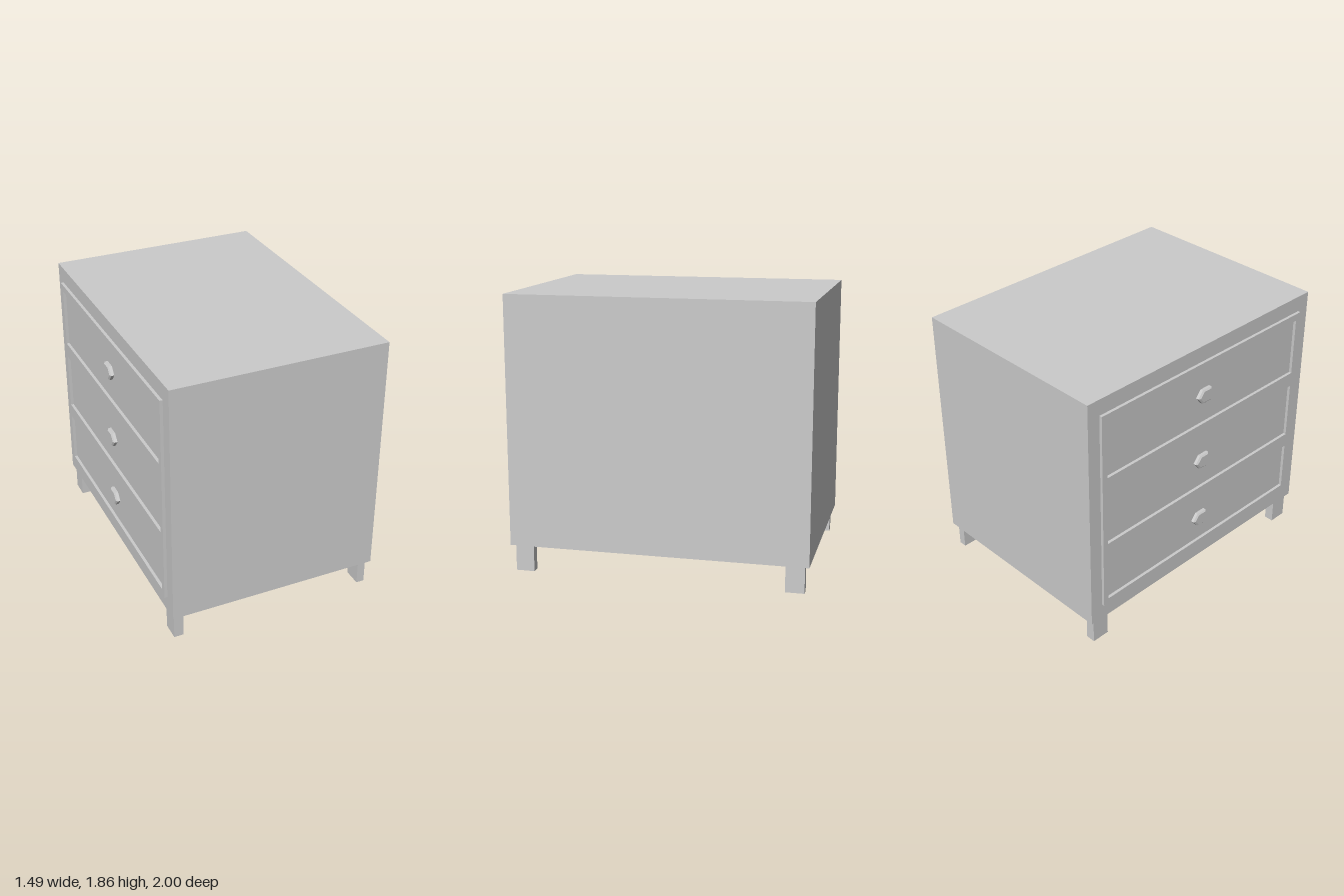
import * as THREE from 'three';

const material = new THREE.MeshStandardMaterial({ color: 0xcccccc, flatShading: true });

function box(name, [x0, x1], [y0, y1], [z0, z1]) {
  const mesh = new THREE.Mesh(new THREE.BoxGeometry(x1 - x0, y1 - y0, z1 - z0), material);
  mesh.position.set((x0 + x1) / 2, (y0 + y1) / 2, (z0 + z1) / 2);
  mesh.name = name;
  return mesh;
}

// Traces a rectangle as a shape or a hole
function rectangle(path, halfWidth, bottom, top) {
  path.moveTo(-halfWidth, bottom);
  path.lineTo(halfWidth, bottom);
  path.lineTo(halfWidth, top);
  path.lineTo(-halfWidth, top);
  path.closePath();
  return path;
}

export function createModel() {
  const model = new THREE.Group();
  model.name = 'drawerCabinet';

  const faceX = -0.717; // drawer side of the cabinet
  const frameDepth = 0.02;
  const drawers = [
    { bottom: 0.335, top: 0.685, knob: 0.515 },
    { bottom: 0.785, top: 1.185, knob: 0.99 },
    { bottom: 1.29, top: 1.695, knob: 1.495 },
  ];

  // Cabinet body
  model.add(box('cabinetBody', [faceX, 0.743], [0.18, 1.855], [-1, 1]));

  // Four legs
  for (const [z0, z1] of [[-0.97, -0.845], [0.845, 0.97]]) {
    model.add(box('drawerSideLeg', [-0.7, -0.635], [0, 0.18], [z0, z1]));
    model.add(box('plainSideLeg', [0.665, 0.72], [0, 0.18], [z0, z1]));
  }

  // Raised frame with one opening per drawer
  const outline = rectangle(new THREE.Shape(), 0.908, 0.293, 1.745);
  for (const d of drawers) outline.holes.push(rectangle(new THREE.Path(), 0.868, d.bottom, d.top));
  const frame = new THREE.Mesh(
    new THREE.ExtrudeGeometry(outline, { depth: frameDepth, bevelEnabled: false }), material);
  frame.rotation.y = -Math.PI / 2;
  frame.position.x = faceX;
  frame.name = 'drawerFrame';
  model.add(frame);

  // Flattened six-sided knobs with a bevelled front rim
  const profile = [[0, 0], [0.078, 0], [0.078, 0.02], [0.062, 0.028], [0, 0.028]]
    .map(([r, h]) => new THREE.Vector2(r, h));
  const knobGeometry = new THREE.LatheGeometry(profile, 6);
  knobGeometry.rotateZ(Math.PI / 2); // axis along -x, corners at both ends of z
  knobGeometry.scale(1, 0.73, 1);
  for (const d of drawers) {
    const knob = new THREE.Mesh(knobGeometry, material);
    knob.position.set(faceX, d.knob, 0);
    knob.name = 'drawerKnob';
    model.add(knob);
  }

  return model;
}
